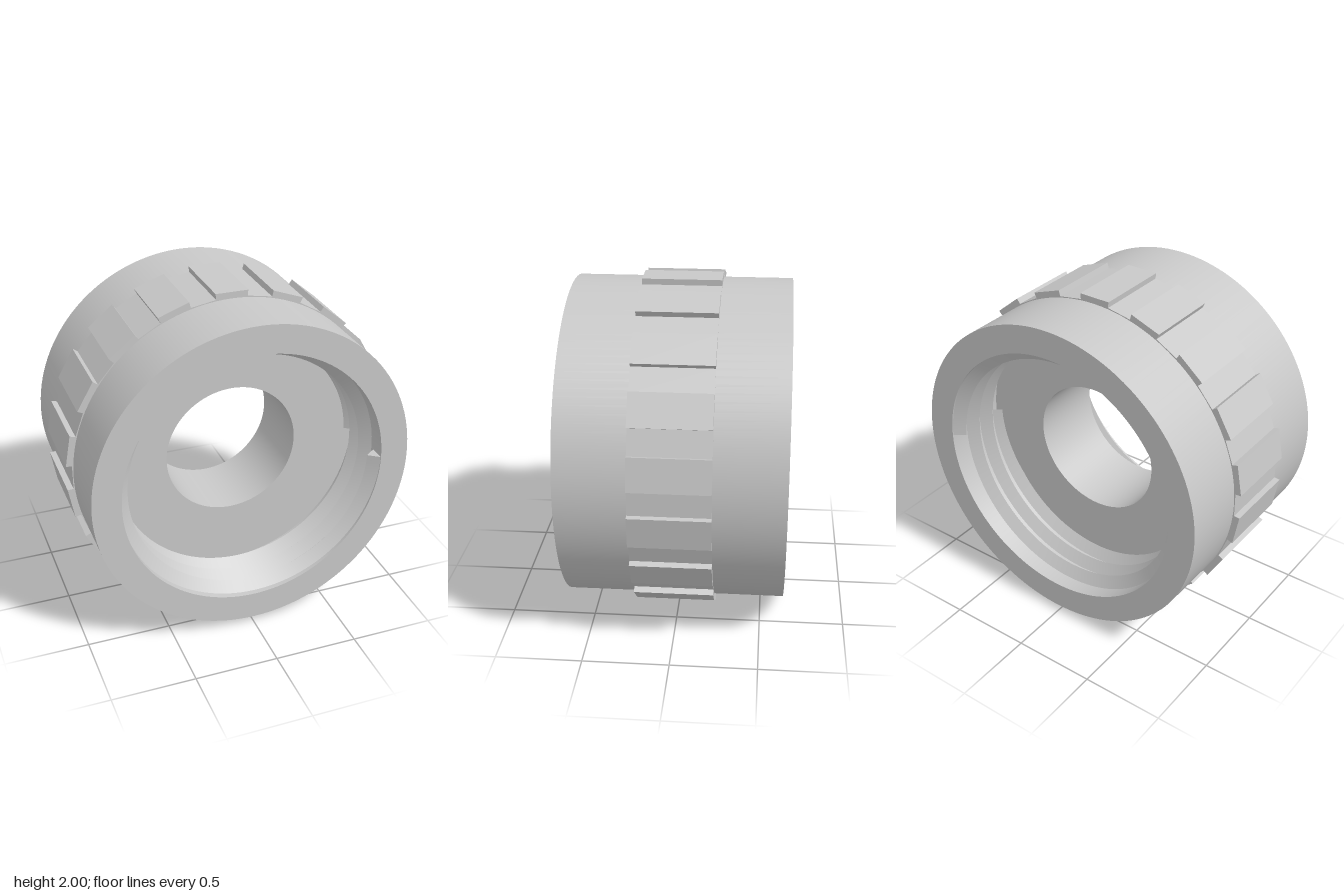
import * as THREE from 'three';
import { toCreasedNormals } from 'three/addons/utils/BufferGeometryUtils.js';

const OUTER = 0.96, BORE = 0.79, HOLE = 0.405;
const HALF = 0.635, FLOOR = 0.235, BAND = 0.23;

// Barrel with a threaded recess at each end and a through hole, turned about z
function barrelGeometry() {
  const profile = [
    [OUTER, -HALF], [OUTER, HALF], [BORE, HALF], [BORE, FLOOR], [HOLE, FLOOR],
    [HOLE, -FLOOR], [BORE, -FLOOR], [BORE, -HALF], [OUTER, -HALF],
  ].map(([r, h]) => new THREE.Vector2(r, h));
  const geo = new THREE.LatheGeometry(profile, 128);
  geo.rotateX(Math.PI / 2);
  return toCreasedNormals(geo, 0.5);
}

// Grip band: 18 flat raised pads with flat gaps between them
function gripGeometry() {
  const pads = 18, halfPad = THREE.MathUtils.degToRad(5.55);
  const points = [];
  for (let i = 0; i < pads; i++) {
    const a = Math.PI / 2 + (i / pads) * Math.PI * 2;
    const corners = [[-halfPad, 0.968], [-halfPad, 1.003], [halfPad, 1.003], [halfPad, 0.968]];
    for (const [da, r] of corners) {
      points.push(new THREE.Vector2(r * Math.cos(a + da), r * Math.sin(a + da)));
    }
  }
  const shape = new THREE.Shape(points);
  shape.holes.push(new THREE.Path().absarc(0, 0, 0.93, 0, Math.PI * 2, true));
  const geo = new THREE.ExtrudeGeometry(shape, { depth: 2 * BAND, bevelEnabled: false, curveSegments: 48 });
  geo.translate(0, 0, -BAND);
  return geo;
}

// Triangular right-hand thread winding from the mouth down into the floor
function threadGeometry() {
  const turns = 3, steps = 96 * turns, pitch = 0.12, halfWidth = 0.05, crest = 0.725;
  const positions = [], index = [];
  for (let i = 0; i <= steps; i++) {
    const t = (i / steps) * turns;
    const a = -t * Math.PI * 2;
    const z = HALF - 0.052 - t * pitch;
    for (const [r, dz] of [[BORE + 0.003, halfWidth], [crest, 0], [BORE + 0.003, -halfWidth]]) {
      positions.push(r * Math.cos(a), r * Math.sin(a), z + dz);
    }
    if (i < steps) {
      for (const k of [0, 1]) {
        const p = i * 3 + k;
        index.push(p, p + 1, p + 4, p, p + 4, p + 3);
      }
    }
  }
  index.push(0, 2, 1); // start face
  const geo = new THREE.BufferGeometry();
  geo.setAttribute('position', new THREE.Float32BufferAttribute(positions, 3));
  geo.setIndex(index);
  return toCreasedNormals(geo, 0.5);
}

export function createModel() {
  const grey = new THREE.MeshStandardMaterial({ color: 0xc8c8c8 });
  grey.name = 'light grey';
  const model = new THREE.Group();
  model.name = 'threadedCoupling';

  const add = (name, geometry) => {
    const mesh = new THREE.Mesh(geometry, grey);
    mesh.name = name;
    mesh.position.y = 1;
    model.add(mesh);
    return mesh;
  };

  add('barrel', barrelGeometry());
  add('gripBand', gripGeometry());

  // The same thread at both ends, the back one turned over
  const thread = threadGeometry();
  add('frontThread', thread);
  add('backThread', thread).rotation.x = Math.PI;

  return model;
}
